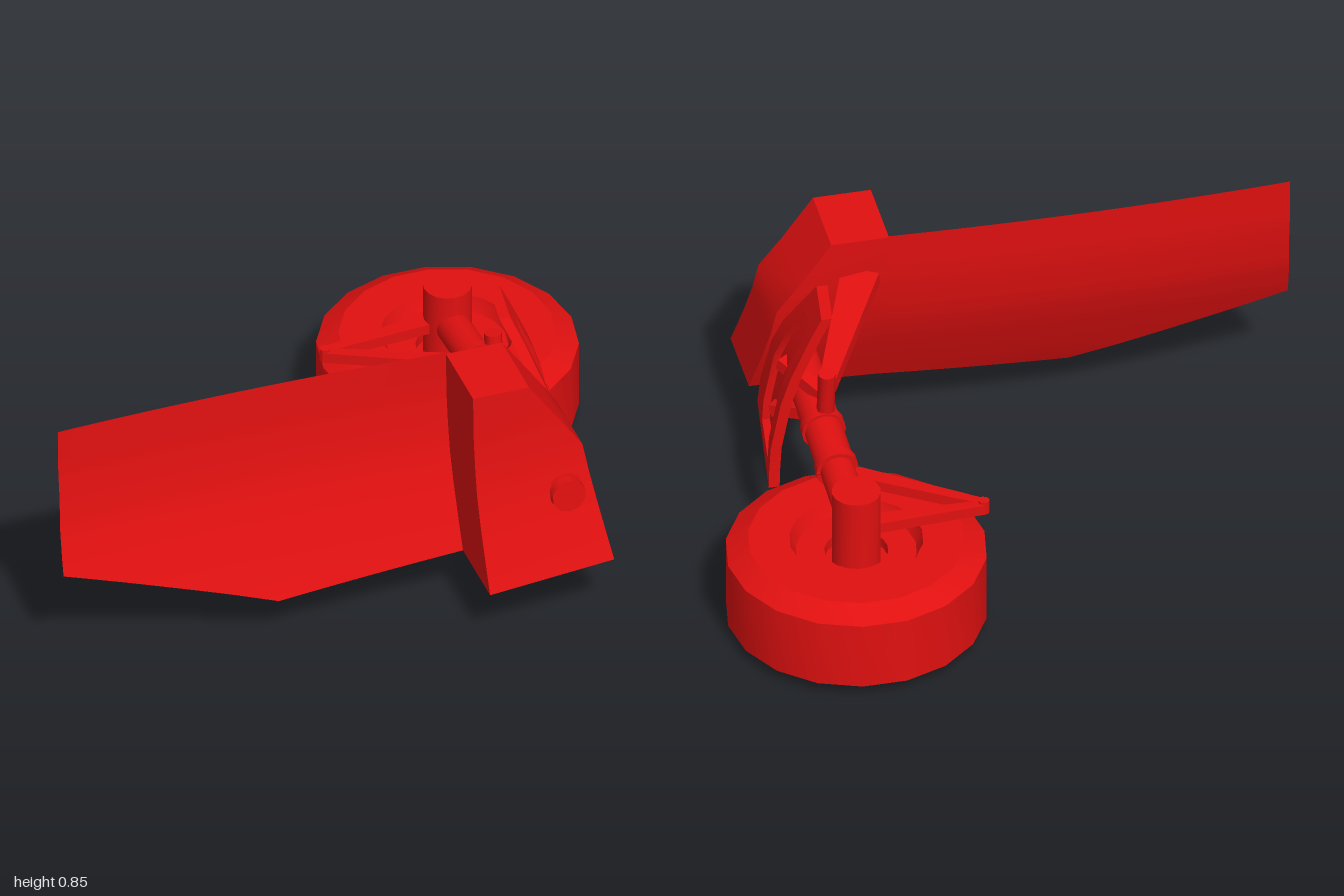
import * as THREE from 'three';
import { toCreasedNormals } from 'three/addons/utils/BufferGeometryUtils.js';

const V = (x, y, z) => new THREE.Vector3(x, y, z);
const material = new THREE.MeshStandardMaterial({ color: 0xe01010, side: THREE.DoubleSide });

// Linear interpolation through [key, value] pairs sorted by key
function sample(table, k) {
  if (k <= table[0][0]) return table[0][1];
  for (let i = 1; i < table.length; i++) {
    const [k0, v0] = table[i - 1], [k1, v1] = table[i];
    if (k <= k1) return v0 + (v1 - v0) * (k - k0) / (k1 - k0);
  }
  return table[table.length - 1][1];
}

// Joins closed loops of points, bottom to top, and caps both ends
function loft(loops) {
  const n = loops[0].length, pos = [], index = [];
  loops.forEach(loop => loop.forEach(p => pos.push(p.x, p.y, p.z)));
  for (let i = 0; i < loops.length - 1; i++) {
    for (let j = 0; j < n; j++) {
      const a = i * n + j, b = i * n + (j + 1) % n;
      index.push(a, b, b + n, a, b + n, a + n);
    }
  }
  const top = (loops.length - 1) * n;
  for (let j = 1; j < n - 1; j++) index.push(0, j + 1, j, top, top + j, top + j + 1);
  const g = new THREE.BufferGeometry();
  g.setAttribute('position', new THREE.Float32BufferAttribute(pos, 3));
  g.setIndex(index);
  return toCreasedNormals(g, 0.5);
}

// Depth of the curved skin at a height
const skin = [[0.155, 0.585], [0.2, 0.56], [0.3, 0.515], [0.4, 0.472], [0.5, 0.437],
  [0.6, 0.418], [0.7, 0.405], [0.85, 0.4]];
const skinZ = y => sample(skin, y);

export function createModel() {
  const model = new THREE.Group();
  const add = (name, geometry) => {
    const mesh = new THREE.Mesh(geometry, material);
    mesh.name = name;
    model.add(mesh);
    return mesh;
  };

  // Round bar between two points
  const rod = (name, a, b, r0, r1 = r0, sides = 16) => {
    const g = new THREE.CylinderGeometry(r1, r0, a.distanceTo(b), sides);
    const m = add(name, toCreasedNormals(g, 0.7));
    m.position.lerpVectors(a, b, 0.5);
    m.quaternion.setFromUnitVectors(V(0, 1, 0), b.clone().sub(a).normalize());
  };

  // Flat bar between two points, tapering in width
  const beam = (name, a, b, w0, w1, t) => {
    const g = new THREE.BoxGeometry(1, a.distanceTo(b), t);
    const p = g.attributes.position;
    for (let i = 0; i < p.count; i++) p.setX(i, p.getX(i) * (p.getY(i) < 0 ? w0 : w1));
    g.computeVertexNormals();
    const m = add(name, g);
    const dir = b.clone().sub(a).normalize();
    const side = dir.clone().cross(V(0, 1, 0)).normalize();
    m.quaternion.setFromRotationMatrix(
      new THREE.Matrix4().makeBasis(side, dir, side.clone().cross(dir)));
    m.position.lerpVectors(a, b, 0.5);
  };

  // Wheel lying flat, recessed on both faces
  const half = [[0.1, 0.08], [0.1, 0.045], [0.19, 0.045], [0.205, 0.015], [0.21, 0],
    [0.34, 0], [0.41, 0.04]];
  const profile = [[0, 0.08], ...half, ...half.map(([r, y]) => [r, 0.312 - y]).reverse(), [0, 0.232]]
    .map(([r, y]) => new THREE.Vector2(r, y));
  const wheel = add('wheel', toCreasedNormals(new THREE.LatheGeometry(profile, 18), 0.45));
  wheel.position.set(0.585, 0, -0.41);
  wheel.rotation.y = Math.PI / 2;

  // Axle and main strut
  rod('axle', V(0.585, 0.06, -0.41), V(0.585, 0.495, -0.41), 0.077);
  const strutAt = z => V(0.585, 0.398 + 0.08 * z, z);
  rod('lowerStrut', strutAt(-0.41), strutAt(0), 0.055);
  rod('upperStrut', strutAt(-0.12), strutAt(0.7), 0.061);
  rod('strutCollar', strutAt(-0.15), strutAt(-0.115), 0.068);
  rod('strutShoulder', strutAt(0.04), strutAt(0.075), 0.07);
  rod('strutEnd', strutAt(0.6), strutAt(0.735), 0.056, 0.056, 10);

  // Folding link beside the strut
  beam('lowerLink', V(0.52, 0.36, -0.41), V(0.17, 0.345, -0.385), 0.06, 0.03, 0.035);
  beam('upperLink', V(0.6, 0.375, -0.13), V(0.17, 0.345, -0.375), 0.06, 0.03, 0.035);
  rod('linkPin', V(0.17, 0.325, -0.38), V(0.17, 0.37, -0.38), 0.018, 0.018, 8);
  rod('linkBracket', V(0.52, 0.385, -0.13), V(0.65, 0.385, -0.13), 0.022, 0.022, 8);

  // Side brace running up to the box fairing
  beam('sideBrace', V(0.38, 0.7, 0.42), V(0.57, 0.56, 0.06), 0.12, 0.05, 0.05);
  rod('bracePin', V(0.575, 0.42, 0.07), V(0.575, 0.62, 0.045), 0.028, 0.028, 10);
  beam('panelArm', V(0.56, 0.47, 0.12), V(0.67, 0.52, 0.27), 0.04, 0.04, 0.04);
  beam('lowerPanelArm', V(0.6, 0.4, 0.15), V(0.7, 0.36, 0.25), 0.04, 0.04, 0.04);

  // Large curved door with a two-slope lower edge
  const lower = [[-1, 0.36], [-0.316, 0.155], [0.3, 0.2]];
  const door = new THREE.PlaneGeometry(1.3, 1, 19, 14);
  const dp = door.attributes.position;
  for (let i = 0; i < dp.count; i++) {
    const x = dp.getX(i) - 0.35, v = dp.getY(i) + 0.5;
    const y0 = sample(lower, x), y = y0 + (0.85 - y0) * v;
    const bow = 0.018 * (1 - ((x + 0.35) / 0.65) ** 2);
    const edge = x < -0.99 ? 0.012 * Math.min(1, v * 2) : 0;
    dp.setXYZ(i, x + edge, y, skinZ(y) - bow);
  }
  door.computeVertexNormals();
  add('largeDoor', door);

  // Solid box fairing with a sloping outer side
  const boxSide = [[0.2, 0.71], [0.23, 0.71], [0.6, 0.65], [0.845, 0.48]];
  add('boxFairing', loft([0.2, 0.3, 0.4, 0.5, 0.6, 0.7, 0.845].map(y => {
    const xr = sample(boxSide, y), z = skinZ(y), yr = y === 0.2 ? 0.23 : y;
    return [V(xr, yr, skinZ(yr) + 0.255), V(xr, yr, skinZ(yr)), V(0.295, y, z), V(0.295, y, z + 0.255)];
  })));

  // Outer panel with a pocket: height, rear, front, pocket rear, pocket front, depth
  const panelX = [[0.18, 0.755], [0.32, 0.75], [0.45, 0.728], [0.55, 0.705], [0.7, 0.643], [0.82, 0.585]];
  const rows = [
    [0.195, 0.08, 0.49, 0.14, 0.34, 0], [0.25, 0.08, 0.475, 0.14, 0.34, 0],
    [0.25, 0.08, 0.475, 0.14, 0.34, 0.025], [0.33, 0.078, 0.45, 0.14, 0.335, 0.025],
    [0.5, 0.074, 0.41, 0.14, 0.33, 0.025], [0.6, 0.071, 0.37, 0.138, 0.295, 0.025],
    [0.74, 0.067, 0.285, 0.137, 0.225, 0.025], [0.74, 0.067, 0.285, 0.137, 0.225, 0],
    [0.815, 0.065, 0.24, 0.13, 0.19, 0]];
  add('outerPanel', loft(rows.map(([y, zb, zf, pb, pf, d], i) => {
    const at = (z, inset) => V(sample(panelX, y) - 0.14 * (z - 0.07) - inset,
      i === 0 ? 0.18 + 0.075 * (z - 0.08) : y, z);
    return [at(zf, 0), at(pf, 0), at(pf, d), at(pb, d), at(pb, 0), at(zb, 0), at(zb, 0.035), at(zf, 0.035)];
  })));

  return model;
}
